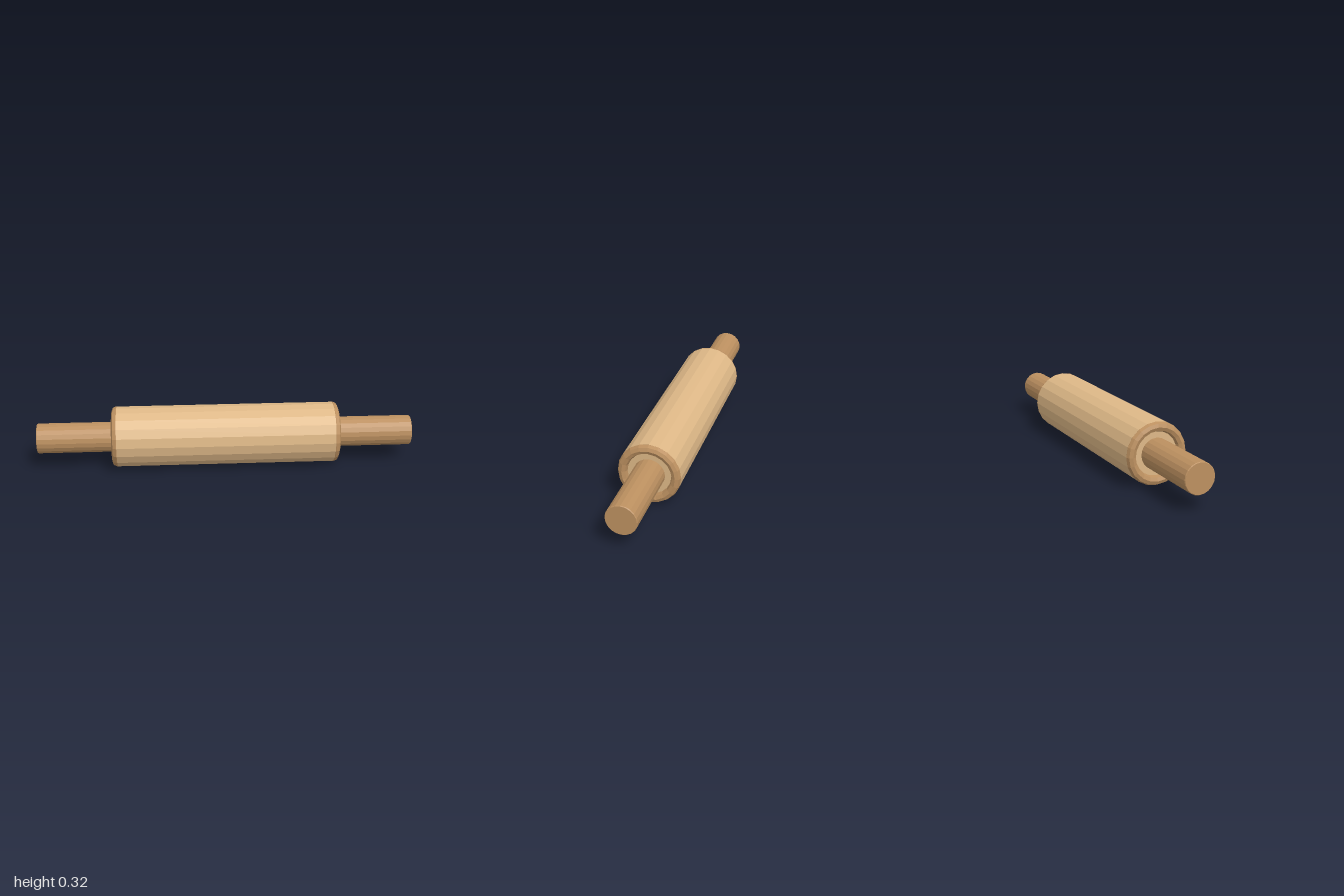
import * as THREE from 'three';

const SIDES = 20;
const AXIS_Y = 0.162;

export function createModel() {
  const model = new THREE.Group();
  model.name = 'rollingPin';
  const paleWood = new THREE.MeshStandardMaterial({ color: 0xdeb887, flatShading: true });
  const darkWood = new THREE.MeshStandardMaterial({ color: 0xbc9060, flatShading: true });

  // Everything is built around one axis running along x
  const add = (name, geometry, material, x = 0) => {
    const mesh = new THREE.Mesh(geometry, material);
    mesh.name = name;
    mesh.position.set(x, AXIS_Y, 0);
    model.add(mesh);
  };

  // Main roller
  add('roller', new THREE.CylinderGeometry(0.161, 0.161, 1.16, SIDES).rotateZ(Math.PI / 2), paleWood);

  for (const [side, s] of [['left', 1], ['right', -1]]) {
    // Rounded rim around each end of the roller
    add(side + 'Rim', new THREE.TorusGeometry(0.137, 0.025, 8, SIDES).rotateY(Math.PI / 2), darkWood, s * 0.58);

    // Handle with a fine chamfer at its tip
    const profile = [[0, 0], [0.08, 0], [0.08, 0.436], [0.077, 0.44], [0, 0.44]]
      .map(([r, y]) => new THREE.Vector2(r, y));
    const handle = new THREE.LatheGeometry(profile, SIDES).rotateZ(-s * Math.PI / 2);
    add(side + 'Handle', handle, darkWood, s * 0.56);
  }
  return model;
}
